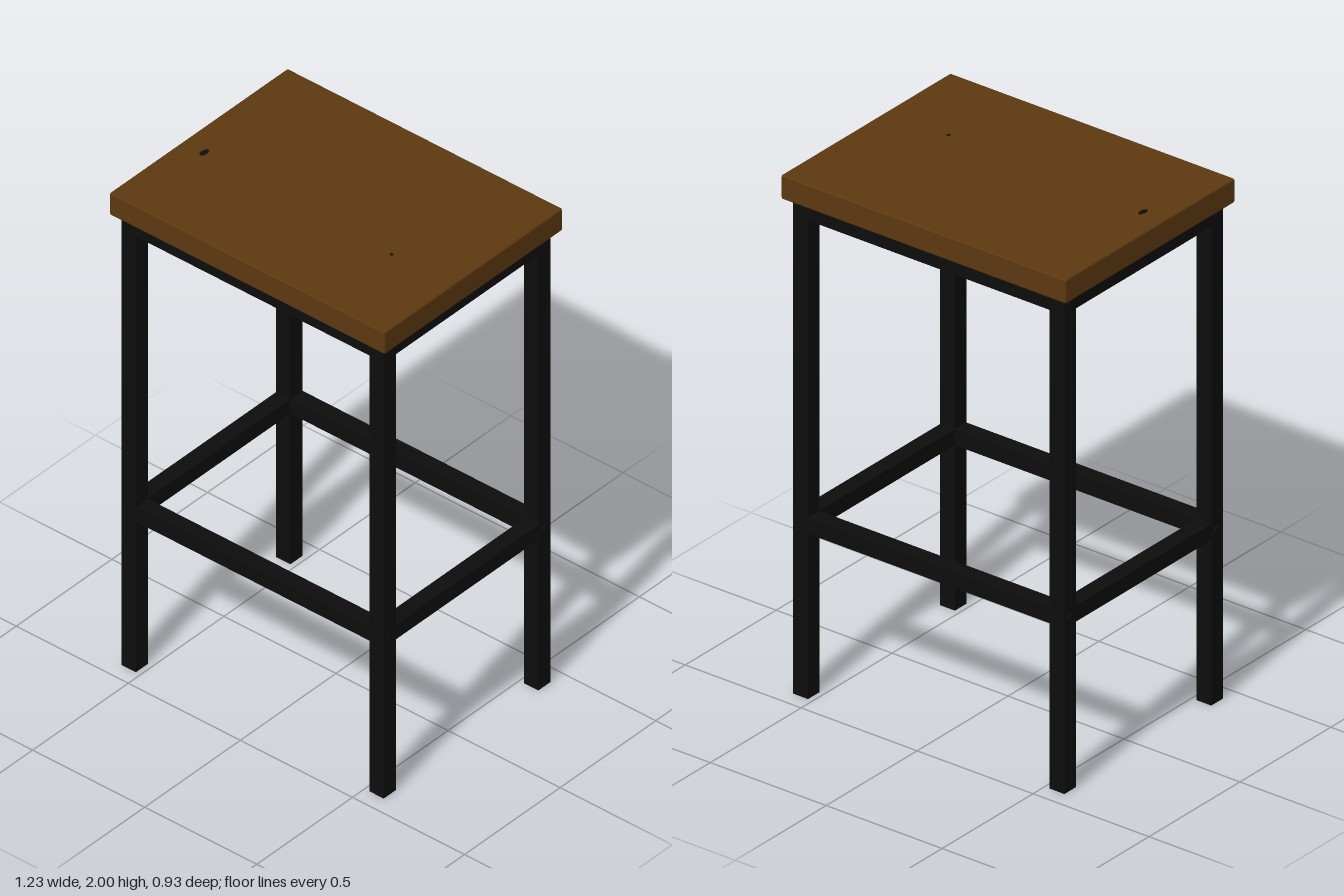
import * as THREE from 'three';
import { RoundedBoxGeometry } from 'three/addons/geometries/RoundedBoxGeometry.js';

export function createModel() {
  const model = new THREE.Group();
  model.name = 'barStool';
  const wood = new THREE.MeshStandardMaterial({ name: 'brownWood', color: 0x5c3810 });
  const steel = new THREE.MeshStandardMaterial({ name: 'blackSteel', color: 0x0d0d0d });

  const add = (name, geometry, material, x, y, z) => {
    const mesh = new THREE.Mesh(geometry, material);
    mesh.name = name;
    mesh.position.set(x, y, z);
    model.add(mesh);
    return mesh;
  };

  const T = 0.064;               // square tube width
  const X = 0.553, Z = 0.404;    // leg centres
  const seatBottom = 1.907, top = 2;

  // Seat slab with slightly eased edges
  add('seat', new RoundedBoxGeometry(1.228, top - seatBottom, 0.932, 2, 0.007),
    wood, 0, (top + seatBottom) / 2, 0);

  // Dark knots in the wood, as thin plates
  const knot = (x, z, rx, rz, sides) => {
    const mesh = add('woodKnot', new THREE.CylinderGeometry(1, 1, 0.001, sides), steel, x, top, z);
    mesh.scale.set(rx, 1, rz);
  };
  knot(-0.517, 0.083, 0.012, 0.023, 7);
  knot(0.343, 0.111, 0.008, 0.008, 5);

  // Four legs
  for (const sx of [-1, 1]) for (const sz of [-1, 1]) {
    add('leg', new THREE.BoxGeometry(T, seatBottom, T), steel, sx * X, seatBottom / 2, sz * Z);
  }

  // Seat frame and footrest: a ring of rails between the legs
  for (const [name, y, h] of [['seatFrame', 1.873, 0.062], ['footrest', 0.667, 0.062]]) {
    for (const s of [-1, 1]) {
      add(name + 'LongRail', new THREE.BoxGeometry(2 * X - T, h, T - 0.002), steel, 0, y, s * Z);
      add(name + 'SideRail', new THREE.BoxGeometry(T - 0.002, h, 2 * Z - T), steel, s * X, y, 0);
      // Small fixings on the outer faces of the legs
      for (const sz of [-1, 1]) {
        const bolt = add(name + 'Bolt', new THREE.CylinderGeometry(0.016, 0.016, 0.014, 12),
          steel, s * (X + T / 2), y, sz * Z);
        bolt.rotation.z = Math.PI / 2;
      }
    }
  }
  return model;
}
